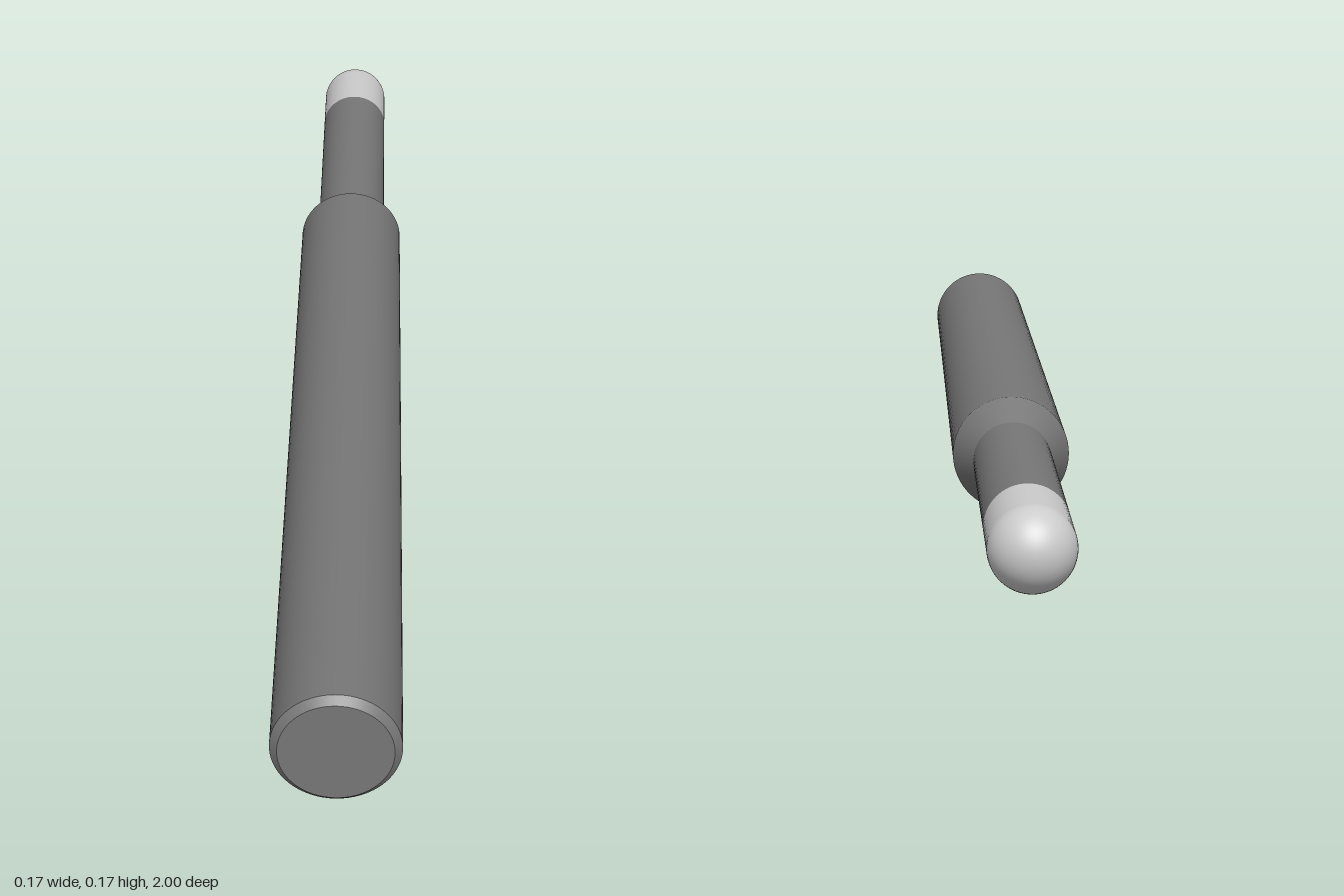
import * as THREE from 'three';
import { mergeGeometries } from 'three/addons/utils/BufferGeometryUtils.js';

const SEGMENTS = 64;
const SHANK_R = 0.085, NECK_R = 0.057, CHAMFER = 0.01;
const TAPER_START = 0.375, TAPER_END = 0.425, TIP_START = 0.83;

// Turned part: each profile is [radius, distance towards the back];
// separate profiles meet in a sharp edge.
function turned(name, color, profiles) {
  const lathes = profiles.map(profile =>
    new THREE.LatheGeometry(profile.map(([r, d]) => new THREE.Vector2(r, d)), SEGMENTS));
  const geometry = mergeGeometries(lathes).rotateX(-Math.PI / 2);
  const mesh = new THREE.Mesh(geometry, new THREE.MeshStandardMaterial({ color }));
  mesh.name = name;
  return mesh;
}

export function createModel() {
  const group = new THREE.Group();
  group.name = 'ballNoseCutter';

  // Shank with flat end, chamfered rim and tapered shoulder
  group.add(turned('shank', 0x777777, [
    [[0, -1], [SHANK_R - CHAMFER, -1]],
    [[SHANK_R - CHAMFER, -1], [SHANK_R, -1 + CHAMFER]],
    [[SHANK_R, -1 + CHAMFER], [SHANK_R, -TAPER_START * -1]],
    [[SHANK_R, TAPER_START], [NECK_R, TAPER_END]],
  ]));

  // Slim neck
  group.add(turned('neck', 0x777777, [[[NECK_R, TAPER_END], [NECK_R, TIP_START]]]));

  // Bright tip: short cylinder running smoothly into a hemisphere
  const tip = [[NECK_R, TIP_START]];
  const steps = 16;
  for (let i = 0; i <= steps; i++) {
    const a = (i / steps) * Math.PI / 2;
    tip.push([i === steps ? 0 : NECK_R * Math.cos(a), 1 - NECK_R + NECK_R * Math.sin(a)]);
  }
  group.add(turned('tip', 0xcccccc, [tip]));

  // Rest the shank on the ground
  group.children.forEach(part => { part.position.y = SHANK_R; });
  return group;
}
